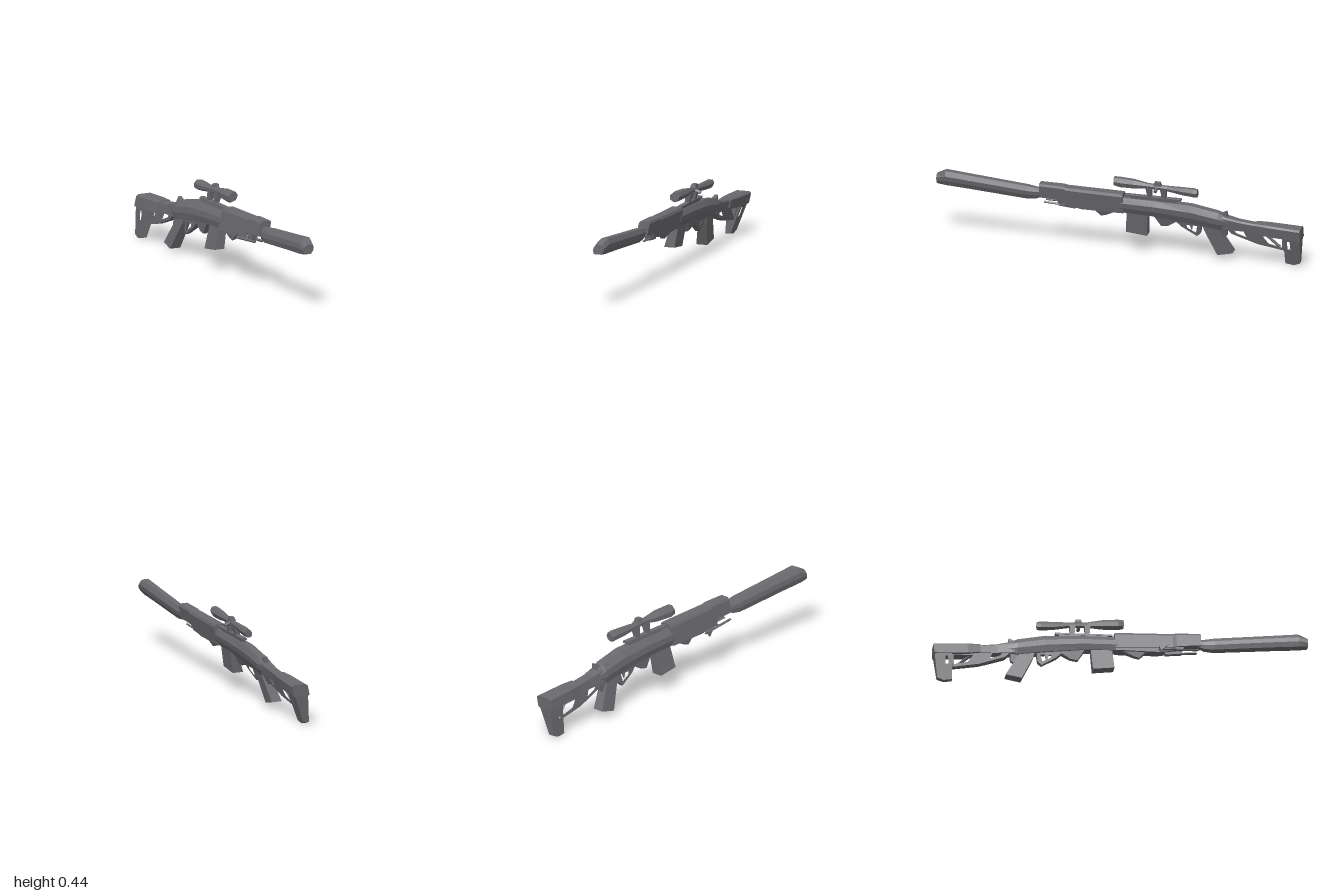
import * as THREE from 'three';

const gunmetal = new THREE.MeshStandardMaterial({ color: 0x69696e, flatShading: true });
gunmetal.name = 'gunmetal';

// The whole rifle leans to its left and its barrel drifts to its right.
function lean(geo) {
  const p = geo.attributes.position;
  for (let i = 0; i < p.count; i++) {
    const y = p.getY(i), z = p.getZ(i);
    const yaw = 0.003 - 0.033 * z - 0.035 * Math.max(0, z - 0.4);
    p.setX(i, p.getX(i) + yaw + 0.22 * (y - 0.28));
  }
  geo.computeVertexNormals();
  return geo;
}

export function createModel() {
  const model = new THREE.Group();
  model.name = 'rifle';

  const add = (name, geo) => {
    const mesh = new THREE.Mesh(lean(geo), gunmetal);
    mesh.name = name;
    model.add(mesh);
  };

  // Side outline [z, y] given a thickness that tapers from bottom to top.
  const plate = (name, pts, bottom, top = bottom, dx = 0, holes = []) => {
    const path = (list) => list.map(([z, y]) => new THREE.Vector2(z, y));
    const shape = new THREE.Shape(path(pts));
    holes.forEach((h) => shape.holes.push(new THREE.Path(path(h))));
    const geo = new THREE.ExtrudeGeometry(shape, { depth: 2, bevelEnabled: false });
    geo.translate(0, 0, -1).rotateY(-Math.PI / 2);
    const ys = pts.map((q) => q[1]), lo = Math.min(...ys), hi = Math.max(...ys);
    const p = geo.attributes.position;
    for (let i = 0; i < p.count; i++) {
      const t = (p.getY(i) - lo) / (hi - lo);
      p.setX(i, p.getX(i) * (bottom + (top - bottom) * t) + dx);
    }
    add(name, geo);
  };

  // Skin over cross-sections [z, bottom, top, half width, x], front to back.
  const loft = (name, ring, sections) => {
    const pos = [], idx = [], n = ring.length;
    for (const [z, b, t, w, dx = 0] of sections)
      for (const [u, v] of ring) pos.push(dx + u * w, (b + t) / 2 + (v * (t - b)) / 2, z);
    for (let s = 0; s < sections.length - 1; s++)
      for (let j = 0; j < n; j++) {
        const a = s * n + j, b = s * n + (j + 1) % n;
        idx.push(a, a + n, b, b, a + n, b + n);
      }
    const last = (sections.length - 1) * n;
    for (let j = 1; j < n - 1; j++) idx.push(0, j, j + 1, last, last + j + 1, last + j);
    const geo = new THREE.BufferGeometry();
    geo.setAttribute('position', new THREE.Float32BufferAttribute(pos, 3));
    geo.setIndex(idx);
    add(name, geo.toNonIndexed());
  };

  // Thin bar between two points [x, y, z].
  const bar = (name, a, b, r, sides = 4) => {
    const A = new THREE.Vector3(...a), d = new THREE.Vector3(...b).sub(A);
    const geo = new THREE.CylinderGeometry(r, r, d.length(), sides);
    geo.applyQuaternion(new THREE.Quaternion().setFromUnitVectors(new THREE.Vector3(0, 1, 0), d.clone().normalize()));
    geo.translate(...A.addScaledVector(d, 0.5).toArray());
    add(name, geo);
  };

  const round = Array.from({ length: 7 }, (_, i) => {
    const a = (i / 7) * Math.PI * 2 + 0.2;
    return [Math.cos(a), Math.sin(a)];
  });
  const body = [[0.7, -1], [1, -0.3], [1, 0.35], [0.5, 1], [-0.5, 1], [-1, 0.35], [-1, -0.3], [-0.7, -1]];
  const box = [[1, -1], [1, 0.7], [0.75, 1], [-0.75, 1], [-1, 0.7], [-1, -1]];

  // Barrel with its long suppressor
  loft('suppressor', body, [
    [1, 0.3, 0.352, 0.03], [0.95, 0.295, 0.378, 0.036], [0.82, 0.287, 0.366, 0.035],
    [0.5, 0.263, 0.338, 0.032], [0.45, 0.268, 0.33, 0.026], [0.41, 0.285, 0.33, 0.016],
  ]);
  loft('barrel', round, [[0.46, 0.285, 0.325, 0.02], [0.3, 0.285, 0.325, 0.02]]);

  // Handguard
  loft('handguard', box, [
    [0.43, 0.282, 0.362, 0.031], [0.3, 0.275, 0.36, 0.032], [0.28, 0.262, 0.354, 0.034],
    [-0.03, 0.245, 0.346, 0.036],
  ]);
  loft('foreEnd', box, [
    [0.31, 0.25, 0.31, 0.022], [0.2, 0.232, 0.29, 0.029], [-0.03, 0.232, 0.29, 0.034],
  ]);
  plate('handStop', [[0.14, 0.24], [0.1, 0.197], [0.07, 0.205], [0, 0.24]], 0.012, 0.022);

  // Folded bipod below the handguard
  for (const s of [-1, 1]) {
    bar('bipodLeg', [s * 0.022 - 0.012, 0.25, 0.41], [s * 0.03 - 0.02, 0.238, 0.2], 0.007);
    bar('bipodStrut', [s * 0.022 - 0.012, 0.24, 0.32], [s * 0.012, 0.285, 0.26], 0.007);
  }
  plate('bipodMount', [[0.34, 0.28], [0.33, 0.235], [0.24, 0.225], [0.22, 0.28]], 0.012, 0.018);
  plate('bipodFoot', [[0.25, 0.262], [0.2, 0.25], [0.21, 0.222]], 0.005, 0.005, -0.065);

  // Receiver
  loft('receiver', body, [
    [-0.015, 0.235, 0.322, 0.038], [-0.2, 0.228, 0.32, 0.042], [-0.4, 0.205, 0.312, 0.043],
    [-0.55, 0.182, 0.282, 0.042], [-0.61, 0.192, 0.25, 0.03],
  ]);
  plate('rearSight', [[-0.55, 0.27], [-0.595, 0.292], [-0.6, 0.235]], 0.02, 0.01);
  plate('magazine', [[-0.045, 0.24], [-0.16, 0.235], [-0.152, 0.104], [-0.037, 0.118]], 0.03, 0.022);
  plate('magazineCatch', [[-0.19, 0.235], [-0.23, 0.165], [-0.27, 0.172], [-0.34, 0.22]], 0.012, 0.024);
  plate('triggerGuard', [[-0.3, 0.22], [-0.345, 0.175], [-0.425, 0.124], [-0.445, 0.145], [-0.45, 0.215]],
    0.012, 0.022, 0, [[[-0.37, 0.19], [-0.375, 0.172], [-0.42, 0.147], [-0.43, 0.19]]]);
  plate('trigger', [[-0.38, 0.2], [-0.395, 0.155], [-0.405, 0.2]], 0.005);
  plate('grip', [[-0.455, 0.21], [-0.47, 0.165], [-0.535, 0.026], [-0.62, 0.045], [-0.535, 0.2]], 0.031, 0.023);
  plate('gripWeb', [[-0.53, 0.2], [-0.575, 0.135], [-0.59, 0.145], [-0.59, 0.205]], 0.01, 0.02);

  // Skeleton stock
  loft('stockNeck', box, [[-0.57, 0.19, 0.265, 0.034], [-0.66, 0.185, 0.244, 0.027], [-0.79, 0.18, 0.228, 0.027]]);
  plate('stockFrame', [[-0.58, 0.205], [-0.62, 0.162], [-0.76, 0.112], [-0.9, 0.087], [-0.91, 0.19], [-0.75, 0.2]],
    0.018, 0.026, 0, [
      [[-0.635, 0.187], [-0.645, 0.17], [-0.7, 0.15], [-0.685, 0.188]],
      [[-0.79, 0.165], [-0.82, 0.122], [-0.893, 0.104], [-0.895, 0.165]],
    ]);
  bar('stockBrace', [0.012, 0.18, -0.8], [0.012, 0.105, -0.88], 0.009);
  loft('cheekRest', box, [[-0.75, 0.185, 0.238, 0.034], [-0.82, 0.17, 0.236, 0.042], [-1, 0.162, 0.226, 0.047]]);
  plate('buttPad', [[-0.905, 0.19], [-0.905, 0.008], [-0.95, 0], [-0.985, 0.014], [-1, 0.2]],
    0.014, 0.044, 0, [[[-0.925, 0.15], [-0.925, 0.1], [-0.94, 0.1], [-0.94, 0.15]]]);

  // Telescopic sight on its rail
  loft('scopeRail', box, [[-0.04, 0.331, 0.343, 0.014], [-0.345, 0.328, 0.341, 0.014]]);
  plate('railBase', [[-0.06, 0.335], [-0.08, 0.31], [-0.32, 0.308], [-0.33, 0.335]], 0.012);
  loft('scopeTube', round, [
    [0.02, 0.382, 0.438, 0.028, -0.01], [-0.01, 0.374, 0.438, 0.032, -0.01], [-0.09, 0.376, 0.434, 0.029, -0.005],
    [-0.17, 0.386, 0.42, 0.017], [-0.27, 0.38, 0.414, 0.017], [-0.35, 0.366, 0.416, 0.023, 0.005],
    [-0.42, 0.36, 0.416, 0.026, 0.008], [-0.44, 0.364, 0.412, 0.022, 0.008],
  ]);
  plate('scopeTurret', [[-0.2, 0.41], [-0.205, 0.432], [-0.235, 0.432], [-0.24, 0.41]], 0.016, 0.012);
  bar('sideTurret', [0.01, 0.398, -0.215], [0.046, 0.388, -0.215], 0.01, 6);
  for (const z of [-0.17, -0.25])
    plate('scopeMount', [[z + 0.015, 0.395], [z + 0.008, 0.335], [z - 0.014, 0.335], [z - 0.018, 0.395]], 0.012, 0.018);

  return model;
}
